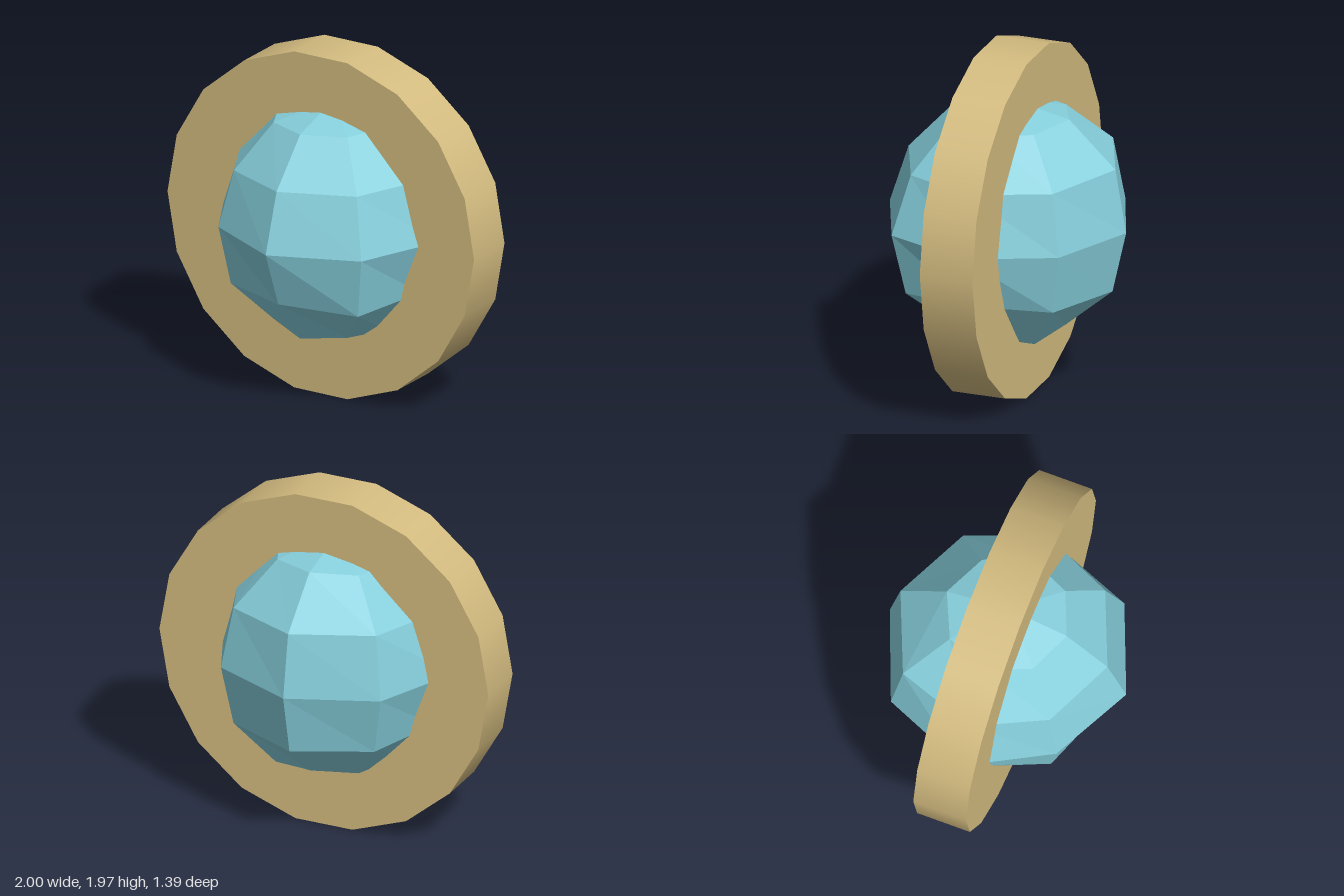
import * as THREE from 'three';

const CENTER_Y = 0.985;

// Radius of each gem vertex, row by row from top to bottom;
// columns run -x, -x+z, +z, +x+z, +x, +x-z, -z, -x-z.
const RADII = [
  [0.70],
  [0.70, 0.68, 0.69, 0.69, 0.70, 0.70, 0.72, 0.70],
  [0.69, 0.65, 0.675, 0.675, 0.69, 0.70, 0.73, 0.73],
  [0.71, 0.65, 0.695, 0.70, 0.69, 0.68, 0.695, 0.705],
  [0.675, 0.67, 0.655, 0.71, 0.65, 0.70, 0.71, 0.70],
  [0.69, 0.66, 0.69, 0.67, 0.68, 0.72, 0.68, 0.69],
  [0.70],
];

// Low-poly sphere with slightly uneven vertices
function gemGeometry() {
  const cols = 8, rows = 6;
  const geo = new THREE.SphereGeometry(1, cols, rows);
  const pos = geo.attributes.position;
  const v = new THREE.Vector3();
  for (let i = 0; i < pos.count; i++) {
    const row = RADII[Math.floor(i / (cols + 1))];
    const col = i % (cols + 1);
    v.fromBufferAttribute(pos, i).multiplyScalar(row[col % row.length]);
    pos.setXYZ(i, v.x, v.y, v.z);
  }
  geo.computeVertexNormals();
  return geo;
}

export function createModel() {
  const group = new THREE.Group();
  group.name = 'gemInDisc';

  const gold = new THREE.MeshStandardMaterial({ color: 0xd4bc80 });
  gold.name = 'gold';
  const teal = new THREE.MeshStandardMaterial({ color: 0x86cfdc, flatShading: true });
  teal.name = 'teal';

  // Thick upright disc with 18 sides, smooth rim and flat faces
  const discGeo = new THREE.CylinderGeometry(1, 1, 0.31, 18, 1, false, Math.PI / 2);
  discGeo.rotateX(Math.PI / 2);
  const disc = new THREE.Mesh(discGeo, gold);
  disc.name = 'disc';
  disc.position.set(0, CENTER_Y, -0.02);
  group.add(disc);

  // Faceted gem pushed through the middle of the disc
  const gem = new THREE.Mesh(gemGeometry(), teal);
  gem.name = 'gem';
  gem.position.y = CENTER_Y;
  group.add(gem);

  return group;
}
